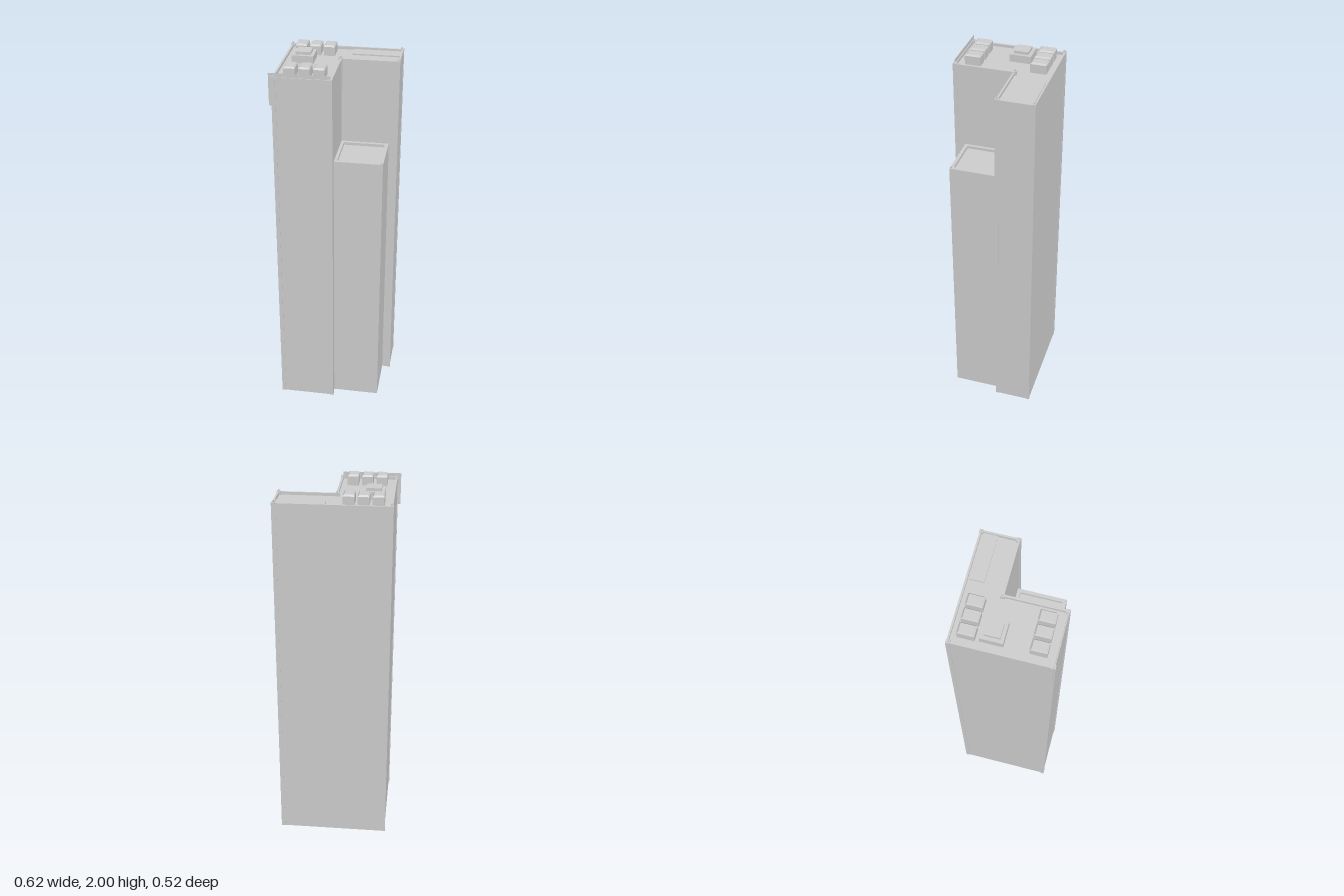
import * as THREE from 'three';

const ROOF = 1.945, RIM = 1.96;

export function createModel() {
  const tower = new THREE.Group();
  tower.name = 'towerBlock';
  const material = new THREE.MeshStandardMaterial({ color: 0xcccccc, flatShading: true });

  function add(name, geometry, mat = material) {
    const mesh = new THREE.Mesh(geometry, mat);
    mesh.name = name;
    tower.add(mesh);
    return mesh;
  }

  // Box given by its limits on each axis
  function box(name, x0, x1, y0, y1, z0, z1) {
    const g = new THREE.BoxGeometry(x1 - x0, y1 - y0, z1 - z0);
    g.translate((x0 + x1) / 2, (y0 + y1) / 2, (z0 + z1) / 2);
    return add(name, g);
  }

  // Upright prism over a plan outline of [x, z] corners, with an optional hole
  function prism(name, plan, y0, y1, hole) {
    const points = (list) => list.map(([x, z]) => new THREE.Vector2(x, -z));
    const shape = new THREE.Shape(points(plan));
    if (hole) shape.holes.push(new THREE.Path(points(hole)));
    const g = new THREE.ExtrudeGeometry(shape, { depth: y1 - y0, bevelEnabled: false });
    g.rotateX(-Math.PI / 2).translate(0, y0, 0);
    return add(name, g);
  }

  const rect = (x0, x1, z0, z1) => [[x0, z0], [x0, z1], [x1, z1], [x1, z0]];
  const ell = (x0, xn, x1, z0, zn, z1) =>
    [[x0, z0], [x0, z1], [xn, z1], [xn, zn], [x1, zn], [x1, z0]];

  // L-shaped main tower with its parapet
  const outline = ell(-0.291, 0.007, 0.307, -0.258, -0.06, 0.253);
  const inner = ell(-0.281, -0.004, 0.297, -0.248, -0.07, 0.244);
  prism('mainTower', outline, 0, ROOF);
  prism('mainParapet', outline, ROOF, RIM, inner);

  // Corner pillars, most with a small tip
  const corners = [[-0.285, -0.25], [0.299, -0.25], [0.299, -0.067],
    [0, -0.067], [-0.285, 0.247], [0, 0.247]];
  corners.forEach(([x, z], i) => {
    box('cornerPillar', x - 0.01, x + 0.01, 0, RIM + 0.003, z - 0.01, z + 0.01);
    if (i < 5) box('pillarTip', x - 0.004, x + 0.004, RIM, 1.972, z - 0.004, z + 0.004);
  });

  // Lower tower in the notch, with a sunken roof
  const lowPlan = rect(0.007, 0.262, -0.06, 0.201);
  prism('lowTower', lowPlan, 0, 1.485);
  prism('lowParapet', lowPlan, 1.485, 1.5, rect(0.023, 0.243, -0.042, 0.183));
  box('lowTowerTip', 0.25, 0.258, 1.495, 1.507, 0.191, 0.199);

  // Flat slab on the wing roof
  box('roofSlab', 0.047, 0.297, ROOF, 1.952, -0.242, -0.168);

  // Rooftop units: box with a sloped upper edge
  function roofUnit(x0, z0, w, d) {
    const bevel = 0.008, top = 2;
    box('roofUnitBase', x0, x0 + w, ROOF, top - bevel, z0, z0 + d);
    const g = new THREE.BoxGeometry(w, bevel, d);
    const p = g.attributes.position;
    for (let i = 0; i < p.count; i++) {
      if (p.getY(i) > 0) {
        p.setX(i, p.getX(i) * (1 - 2 * 0.006 / w));
        p.setZ(i, p.getZ(i) * (1 - 2 * bevel / d));
      }
    }
    g.computeVertexNormals();
    g.translate(x0 + w / 2, top - bevel / 2, z0 + d / 2);
    add('roofUnitTop', g);
  }
  for (let i = 0; i < 3; i++) {
    roofUnit(-0.243 + i * 0.075, 0.123, 0.058, 0.084);
    roofUnit(-0.247 + i * 0.074, -0.219, 0.058, 0.085);
  }

  // Stepped plant room
  box('plantRoomBase', -0.243, -0.131, ROOF, 1.985, -0.113, 0);
  box('plantRoomTop', -0.225, -0.148, 1.985, 2, -0.095, -0.018);

  // Thin panel across the front edge, overhanging the side
  const thin = material.clone();
  thin.side = THREE.DoubleSide;
  add('frontPanel', new THREE.PlaneGeometry(0.31, 0.17), thin).position.set(-0.155, 1.895, 0.249);

  return tower;
}
